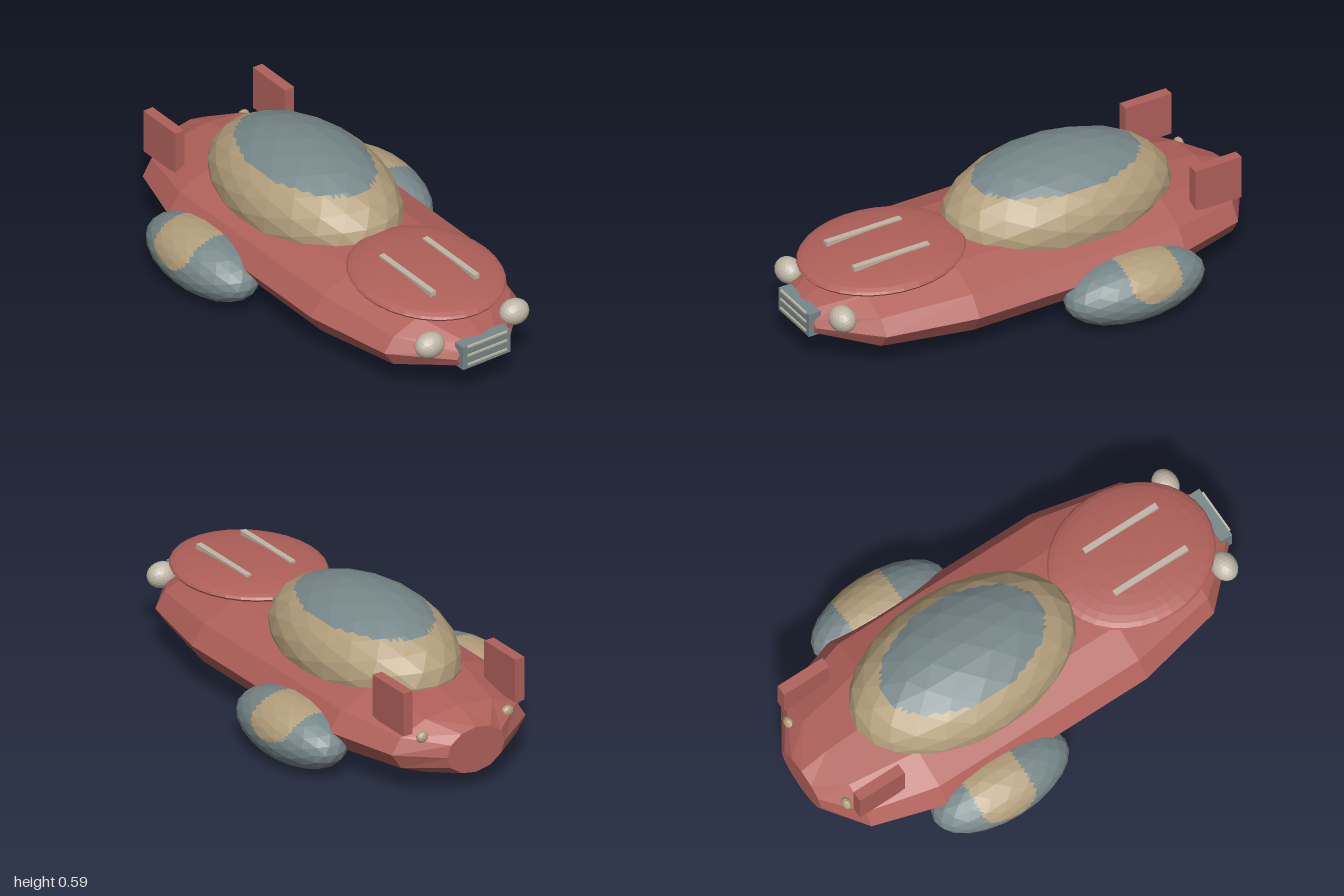
import * as THREE from 'three';

const paint = (name, color) => Object.assign(new THREE.MeshStandardMaterial({ color }), { name });

// Faceted ellipsoid; each flat face is split finely so that pick(x, y, z) can choose a material index
function twoToneEllipsoid(center, radii, pick) {
  const base = new THREE.IcosahedronGeometry(1, 3);
  base.scale(...radii).translate(...center);
  const p = base.attributes.position;
  const buckets = [[], []];
  const split = (a, b, c, level) => {
    if (level === 0) {
      const m = a.clone().add(b).add(c).divideScalar(3);
      buckets[pick(m.x, m.y, m.z)].push(...a, ...b, ...c);
      return;
    }
    const ab = a.clone().lerp(b, 0.5), bc = b.clone().lerp(c, 0.5), ca = c.clone().lerp(a, 0.5);
    [[a, ab, ca], [ab, b, bc], [ca, bc, c], [ab, bc, ca]].forEach(t => split(...t, level - 1));
  };
  for (let i = 0; i < p.count; i += 3) {
    split(...[0, 1, 2].map(k => new THREE.Vector3().fromBufferAttribute(p, i + k)), 2);
  }
  const g = new THREE.BufferGeometry();
  g.setAttribute('position', new THREE.Float32BufferAttribute(buckets.flat(), 3));
  g.addGroup(0, buckets[0].length / 3, 0);
  g.addGroup(buckets[0].length / 3, buckets[1].length / 3, 1);
  g.computeVertexNormals();
  return g;
}

// Twelve-sided hull lofted along x from [x, centre y, half height, half width]
function hullGeometry(sections) {
  const sides = 12, pos = [], idx = [];
  for (const [x, y, h, w] of sections) {
    for (let j = 0; j < sides; j++) {
      const a = (j / sides) * Math.PI * 2;
      pos.push(x, y + Math.sin(a) * h, Math.cos(a) * w);
    }
  }
  const last = sections.length - 1;
  for (let i = 0; i < last; i++) {
    for (let j = 0; j < sides; j++) {
      const k = (j + 1) % sides, a = i * sides, b = a + sides;
      idx.push(a + j, b + j, b + k, a + j, b + k, a + k);
    }
  }
  // end caps
  for (let j = 1; j < sides - 1; j++) {
    idx.push(0, j, j + 1);
    idx.push(last * sides, last * sides + j + 1, last * sides + j);
  }
  const g = new THREE.BufferGeometry();
  g.setAttribute('position', new THREE.Float32BufferAttribute(pos, 3));
  g.setIndex(idx);
  const flat = g.toNonIndexed();
  flat.computeVertexNormals();
  return flat;
}

export function createModel() {
  const red = paint('red body', 0xb0605a);
  const tan = paint('tan', 0xb29e7b);
  const grey = paint('slate grey', 0x778789);
  const pale = paint('pale trim', 0xbfb7a7);
  for (const m of [red, tan, grey, pale]) m.flatShading = true;

  const group = new THREE.Group();
  const add = (name, geometry, material, x = 0, y = 0, z = 0) => {
    const mesh = new THREE.Mesh(geometry, material);
    mesh.name = name;
    mesh.position.set(x, y, z);
    group.add(mesh);
    return mesh;
  };
  const box = (name, material, size, at) => add(name, new THREE.BoxGeometry(...size), material, ...at);
  const ball = (name, material, radii, at, detail) =>
    add(name, new THREE.IcosahedronGeometry(1, detail).scale(...radii), material, ...at);

  add('hull', hullGeometry([
    [-1, 0.185, 0.1, 0.14],
    [-0.88, 0.2, 0.135, 0.325],
    [-0.58, 0.21, 0.17, 0.42],
    [0.38, 0.21, 0.17, 0.42],
    [0.76, 0.2, 0.13, 0.335],
    [0.97, 0.2, 0.06, 0.13],
  ]), red);

  // Canopy with a grey crown
  add('canopy', twoToneEllipsoid([-0.225, 0.36, 0], [0.507, 0.235, 0.317],
    (x, y) => (y > 0.52 ? 1 : 0)), [tan, grey]);

  // Flattened hood disc, dipping slightly to the nose
  const hood = add('hood', new THREE.SphereGeometry(1, 32, 16).scale(0.353, 0.047, 0.302), red, 0.587, 0.367, 0);
  hood.rotation.z = -0.03;

  // Nose grille with three bars
  box('grille', grey, [0.055, 0.105, 0.236], [0.966, 0.212, 0]);
  for (const y of [0.18, 0.222, 0.262]) box('grilleBar', pale, [0.009, 0.008, 0.195], [0.9955, y, 0]);

  for (const s of [1, -1]) {
    box('hoodStrip', pale, [0.35, 0.02, 0.025], [0.607, 0.409, s * 0.108]);
    ball('headlight', pale, [0.053, 0.054, 0.065], [0.893, 0.263, s * 0.21], 3);
    ball('tailLight', tan, [0.02, 0.026, 0.028], [-0.922, 0.266, s * 0.207], 1);
    box('fin', red, [0.215, 0.19, 0.046], [-0.808, 0.385, s * 0.272]);

    // Side pod with a tan saddle patch
    add('sidePod', twoToneEllipsoid([-0.333, 0.14, s * 0.43], [0.315, 0.136, 0.163], (x, y) => {
      const dx = (x + 0.37) / 0.118;
      return y > 0.21 ? +(Math.abs(dx) < 1) : +(dx * dx + ((y - 0.21) / 0.072) ** 2 < 1);
    }), [grey, tan]);
  }
  return group;
}
